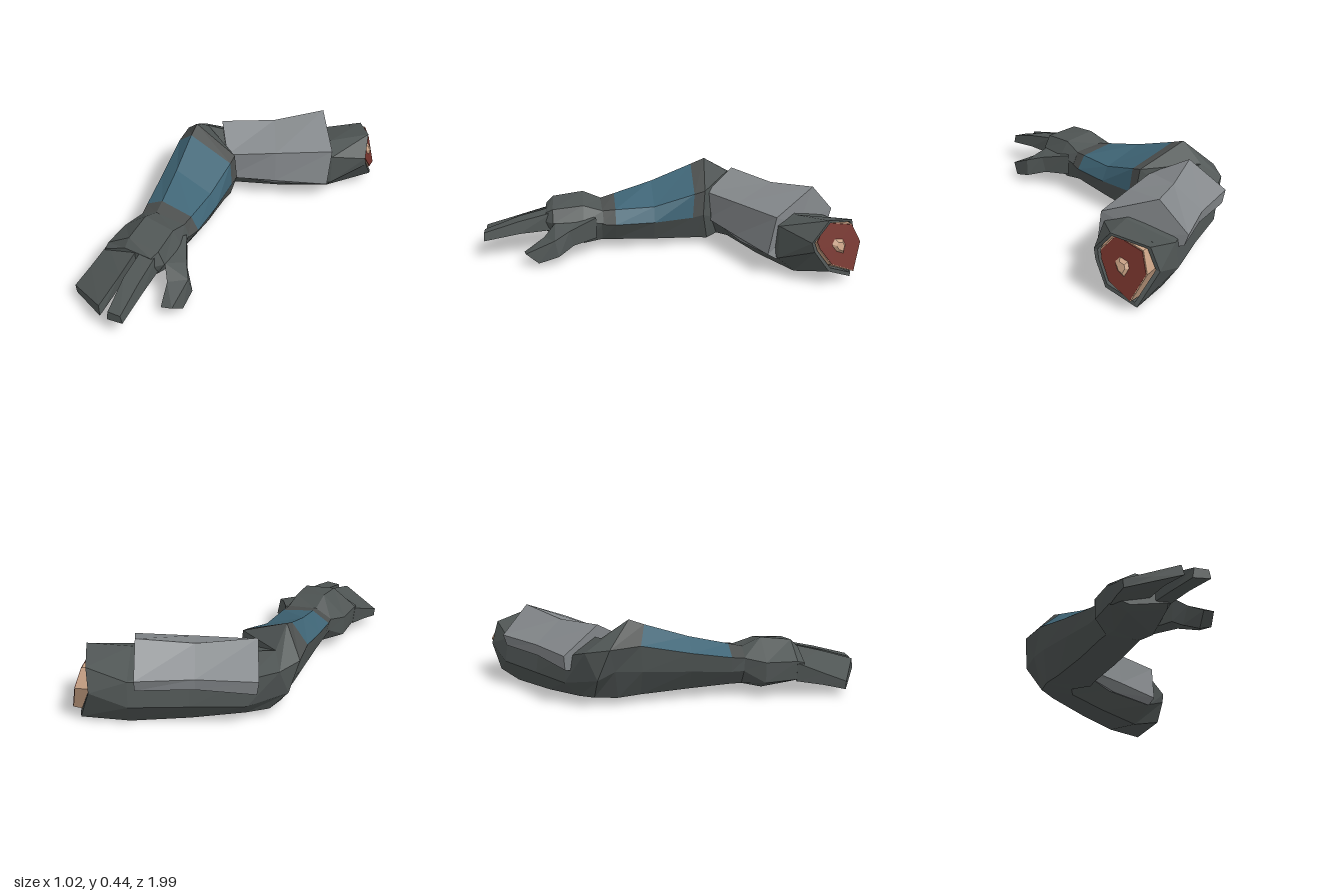
import * as THREE from 'three';

const mat = (name, color) => {
  const m = new THREE.MeshStandardMaterial({ color });
  m.name = name;
  return m;
};

// Skin a list of rings (clockwise seen from the far end) with flat facets.
// pick(ring, side) selects the material index of each facet.
function loft(name, rings, materials, pick = () => 0) {
  const buckets = materials.map(() => []);
  const tri = (k, ...pts) => pts.forEach(p => buckets[k].push(...p));
  const n = rings[0].length;
  const centre = r => [0, 1, 2].map(k => r.reduce((s, p) => s + p[k], 0) / n);
  const first = rings[0], last = rings[rings.length - 1];
  const c0 = centre(first), c1 = centre(last);
  for (let j = 0; j < n; j++) {
    const m = (j + 1) % n;
    for (let i = 0; i + 1 < rings.length; i++) {
      const k = pick(i, j);
      const a = rings[i][j], b = rings[i][m], c = rings[i + 1][j], d = rings[i + 1][m];
      tri(k, a, c, d);
      tri(k, a, d, b);
    }
    tri(0, c0, first[j], first[m]);
    tri(0, c1, last[m], last[j]);
  }
  const geo = new THREE.BufferGeometry();
  geo.setAttribute('position', new THREE.Float32BufferAttribute(buckets.flat(), 3));
  let start = 0;
  buckets.forEach((b, k) => {
    geo.addGroup(start, b.length / 3, k);
    start += b.length / 3;
  });
  geo.computeVertexNormals();
  const mesh = new THREE.Mesh(geo, materials.length > 1 ? materials : materials[0]);
  mesh.name = name;
  return mesh;
}

// Upper-arm frame: t runs from the shoulder cut to the elbow, u points to the front.
const along = (t, u, y) => [0.42 - 0.867 * t + 0.498 * u, y, -0.85 + 0.498 * t + 0.867 * u];
const section = (t, pts) => pts.map(([u, y, dt = 0]) => along(t + dt, u, y));
// Ring at constant z from x, y pairs
const slice = (z, pts) => pts.map(([x, y]) => [x, y, z]);

export function createModel() {
  const group = new THREE.Group();
  group.name = 'arm';
  const sleeve = mat('dark sleeve', 0x4f5554);
  const band = mat('band grey', 0x4c4f4e);
  const plate = mat('plate grey', 0x85898c);
  const teal = mat('teal', 0x3f6576);
  const flesh = mat('skin', 0xc9a285);
  const meat = mat('dark red', 0x73322b);

  // Outline of the shoulder cut: u, y and offset along the arm
  const cutOutline = [[0.065, 0.36, -0.02], [0.158, 0.25, 0], [0.145, 0.2, -0.01], [0.075, 0.09, -0.05],
    [-0.085, 0.022, -0.05], [-0.17, 0.2, 0.01], [-0.125, 0.32, 0]];
  // The outline scaled by s, and moved by t along the arm
  const rim = (s, t) => section(t, cutOutline.map(([u, y, dt]) => [u * s, 0.205 + (y - 0.2) * s, dt]));
  // Ring in the tilted face of the cut: scale s, pushed out by o
  const cut = (s, o) => cutOutline.map(([u, y]) => {
    const yy = 0.212 + (y - 0.2) * s;
    return along(0.0126 + 0.195 * u * s - 0.3 * (0.36 - yy) - o, u * s, yy);
  });

  // Elbow ring shared by the upper arm and forearm
  const elbow = [[-0.40, 0.36, -0.42], [-0.17, 0.28, -0.29], [-0.15, 0.17, -0.29],
    [-0.25, 0.03, -0.34], [-0.39, 0.048, -0.46], [-0.49, 0.16, -0.45], [-0.47, 0.30, -0.51]];

  // Upper arm with a thin rim around the recessed cut
  group.add(loft('upperArm', [
    rim(0.87, 0.07),
    rim(0.88, 0),
    section(0, cutOutline),
    section(0.2, [[0.085, 0.33], [0.2, 0.29], [0.2, 0.11], [0.08, 0.005], [-0.11, 0.01], [-0.19, 0.13], [-0.17, 0.26]]),
    section(0.5, [[0, 0.33], [0.18, 0.28], [0.19, 0.13], [0.08, 0.005], [-0.09, 0.013], [-0.17, 0.12], [-0.15, 0.25]]),
    section(0.78, [[0, 0.34], [0.17, 0.28], [0.17, 0.13], [0.07, 0.022], [-0.08, 0.035], [-0.17, 0.12], [-0.155, 0.26]]),
    elbow,
  ], [sleeve]));

  // Layers of the cut
  group.add(loft('cutSkin', [cut(0.8, 0), rim(0.87, 0.06)], [flesh]));
  group.add(loft('cutFlesh', [cut(0.77, 0.004), cut(0.77, -0.02)], [meat]));
  group.add(loft('bone', [cut(0.14, 0.018), cut(0.26, 0)], [flesh]));

  // Folded plate over the upper arm: ridge, front edge, front hem, inner hem, back hem, back edge
  group.add(loft('upperArmPlate', [
    section(0.21, [[-0.067, 0.445, 0.03], [0.218, 0.34, -0.005], [0.25, 0.132, 0.017], [0.2, 0.1, 0.005],
      [-0.2, 0.23, 0.03], [-0.22, 0.29, 0.03]]),
    section(0.53, [[-0.03, 0.4], [0.212, 0.325], [0.225, 0.14], [0.18, 0.09], [-0.175, 0.22], [-0.185, 0.28]]),
    section(0.81, [[0, 0.412, 0.03], [0.205, 0.31], [0.195, 0.145], [0.16, 0.13], [-0.195, 0.2, 0.02], [-0.207, 0.275, 0.03]]),
  ], [plate]));

  // Forearm with a teal panel between two bands
  const forearm = [
    elbow,
    [[-0.39, 0.45, -0.28], [-0.12, 0.335, -0.25], [-0.10, 0.2, -0.24], [-0.16, 0.037, -0.27],
      [-0.4, 0.045, -0.34], [-0.475, 0.2, -0.36], [-0.52, 0.32, -0.39]],
    [[-0.38, 0.42, -0.2], [-0.115, 0.32, -0.19], [-0.10, 0.185, -0.18], [-0.16, 0.041, -0.2],
      [-0.37, 0.05, -0.22], [-0.46, 0.19, -0.22], [-0.485, 0.33, -0.23]],
    slice(0.04, [[-0.33, 0.34], [-0.11, 0.255], [-0.075, 0.173], [-0.13, 0.055], [-0.33, 0.06], [-0.41, 0.17], [-0.43, 0.27]]),
    slice(0.26, [[-0.285, 0.285], [-0.1, 0.25], [-0.057, 0.173], [-0.12, 0.065], [-0.31, 0.07], [-0.37, 0.15], [-0.385, 0.23]]),
    slice(0.34, [[-0.27, 0.265], [-0.1, 0.245], [-0.07, 0.175], [-0.12, 0.067], [-0.3, 0.07], [-0.36, 0.15], [-0.365, 0.22]]),
  ];
  group.add(loft('forearm', forearm, [sleeve, band, teal], (i, j) => {
    const upper = j === 0 || j === 1 || j === 6;
    if (!upper || i === 0) return 0;
    return i === 2 || i === 3 ? 2 : 1;
  }));

  // Hand
  group.add(loft('hand', [
    slice(0.33, [[-0.27, 0.262], [-0.1, 0.245], [-0.07, 0.18], [-0.12, 0.07], [-0.3, 0.07], [-0.36, 0.15], [-0.365, 0.22]]),
    slice(0.44, [[-0.27, 0.31], [-0.1, 0.28], [-0.05, 0.2], [-0.09, 0.06], [-0.3, 0.045], [-0.4, 0.09], [-0.405, 0.2]]),
    slice(0.61, [[-0.26, 0.29], [-0.08, 0.27], [-0.045, 0.2], [-0.09, 0.12], [-0.3, 0.07], [-0.39, 0.1], [-0.4, 0.2]]),
    slice(0.65, [[-0.26, 0.25], [-0.1, 0.245], [-0.08, 0.2], [-0.1, 0.14], [-0.3, 0.09], [-0.38, 0.11], [-0.39, 0.19]]),
  ], [sleeve]));

  // Joined outer fingers
  group.add(loft('outerFingers', [
    slice(0.61, [[-0.40, 0.19], [-0.2, 0.255], [-0.2, 0.15], [-0.39, 0.09]]),
    [[-0.415, 0.135, 0.75], [-0.19, 0.208, 0.8], [-0.19, 0.14, 0.8], [-0.41, 0.07, 0.75]],
    [[-0.43, 0.09, 0.87], [-0.19, 0.155, 0.985], [-0.18, 0.1, 0.995], [-0.425, 0.045, 0.87]],
  ], [sleeve]));

  group.add(loft('indexFinger', [
    slice(0.61, [[-0.175, 0.255], [-0.09, 0.25], [-0.08, 0.15], [-0.17, 0.14]]),
    slice(0.8, [[-0.165, 0.21], [-0.075, 0.208], [-0.06, 0.14], [-0.155, 0.12]]),
    slice(0.993, [[-0.13, 0.15], [-0.055, 0.155], [-0.045, 0.11], [-0.14, 0.095]]),
  ], [sleeve]));

  group.add(loft('thumb', [
    [[-0.12, 0.22, 0.45], [-0.06, 0.22, 0.37], [-0.06, 0.1, 0.37], [-0.12, 0.08, 0.46]],
    [[-0.05, 0.2, 0.6], [0.03, 0.18, 0.52], [0.02, 0.09, 0.5], [-0.05, 0.08, 0.58]],
    [[0, 0.14, 0.66], [0.09, 0.15, 0.6], [0.1, 0.06, 0.58], [-0.01, 0.05, 0.62]],
    [[0.03, 0.07, 0.77], [0.09, 0.08, 0.76], [0.11, 0.03, 0.69], [0.04, 0.005, 0.7]],
  ], [sleeve]));

  return group;
}
